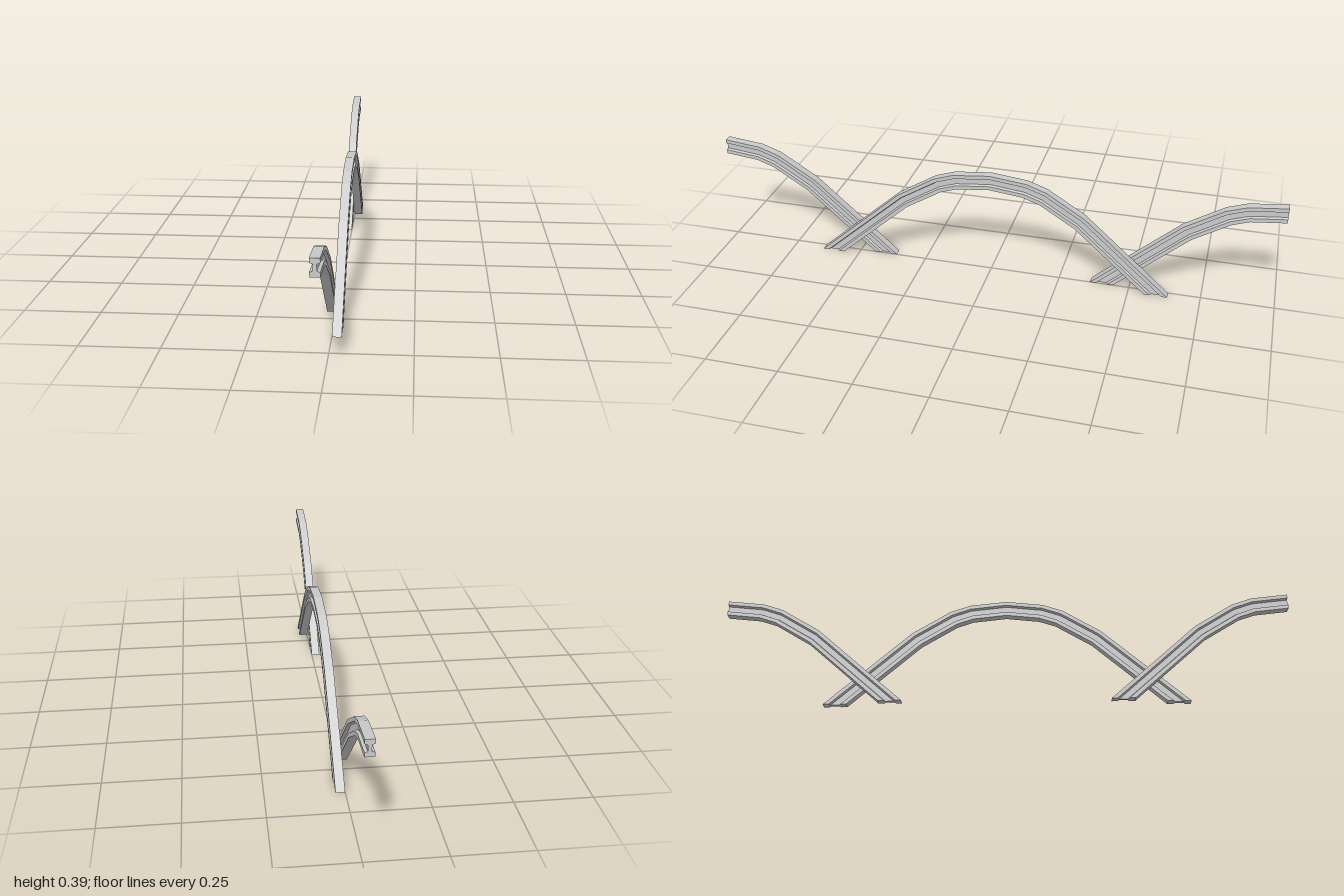
import * as THREE from 'three';

const DEPTH = 0.054, WIDTH = 0.03;

// Top edge of half an arch, from crown to foot: [distance along z, y]
const EDGE = [[0, 0.391], [0.13, 0.377], [0.2, 0.353], [0.335, 0.27], [0.638, 0]];

// I-beam section, anticlockwise: u across the width, v from bottom to top
const SECTION = [
  [0, 0], [1, 0], [1, 0.25], [0.69, 0.32], [0.69, 0.68], [1, 0.75],
  [1, 1], [0, 1], [0, 0.75], [0.31, 0.68], [0.31, 0.32], [0, 0.25],
];

// Mitred lower edge; the crown is cut vertically and the foot level with the ground
function halfStations() {
  const normals = EDGE.slice(1).map(([z, y], i) => {
    const dz = z - EDGE[i][0], dy = y - EDGE[i][1], l = Math.hypot(dz, dy);
    return [dy / l, -dz / l];
  });
  return EDGE.map(([z, y], i) => {
    let off;
    if (i === 0) off = [0, -DEPTH];
    else if (i === EDGE.length - 1) off = [DEPTH / normals[i - 1][0], 0];
    else {
      const a = normals[i - 1], b = normals[i];
      const k = DEPTH / (1 + a[0] * b[0] + a[1] * b[1]);
      off = [(a[0] + b[0]) * k, (a[1] + b[1]) * k];
    }
    return { top: [z, y], low: [z + off[0], y + off[1]] };
  });
}

// Places half an arch with its crown at z0, running towards dir
const place = (z0, dir) => halfStations().map(({ top, low }) => ({
  top: [z0 + dir * top[0], top[1]],
  low: [z0 + dir * low[0], low[1]],
}));

// Sweeps the section through stations listed in order of rising z
function beam(name, stations, x0, material) {
  const rings = stations.map(({ top, low }) => SECTION.map(([u, v]) => [
    x0 + u * WIDTH,
    low[1] + (top[1] - low[1]) * v,
    low[0] + (top[0] - low[0]) * v,
  ]));
  const pos = [];
  const tri = (a, b, c) => pos.push(...a, ...b, ...c);
  for (let i = 0; i < rings.length - 1; i++) {
    for (let j = 0; j < SECTION.length; j++) {
      const k = (j + 1) % SECTION.length;
      const a = rings[i][j], b = rings[i][k], c = rings[i + 1][k], d = rings[i + 1][j];
      tri(a, b, c);
      tri(a, c, d);
    }
  }
  // End caps
  const first = rings[0], last = rings[rings.length - 1];
  const outline = SECTION.map(([u, v]) => new THREE.Vector2(u, v));
  for (const [a, b, c] of THREE.ShapeUtils.triangulateShape(outline, [])) {
    tri(first[a], first[c], first[b]);
    tri(last[a], last[b], last[c]);
  }
  const geometry = new THREE.BufferGeometry();
  geometry.setAttribute('position', new THREE.Float32BufferAttribute(pos, 3));
  geometry.computeVertexNormals();
  const mesh = new THREE.Mesh(geometry, material);
  mesh.name = name;
  return mesh;
}

export function createModel() {
  const group = new THREE.Group();
  group.name = 'archedBeams';
  const material = new THREE.MeshStandardMaterial({ color: 0xcccccc, flatShading: true });

  // Full arch in the middle
  const middle = [...place(0, -1).reverse(), ...place(0, 1).slice(1)];
  group.add(beam('middleArch', middle, 0, material));

  // Half arches at both ends, alongside the middle arch
  group.add(beam('frontHalfArch', place(1, -1).reverse(), -WIDTH, material));
  group.add(beam('backHalfArch', place(-1, 1), -WIDTH, material));
  return group;
}
